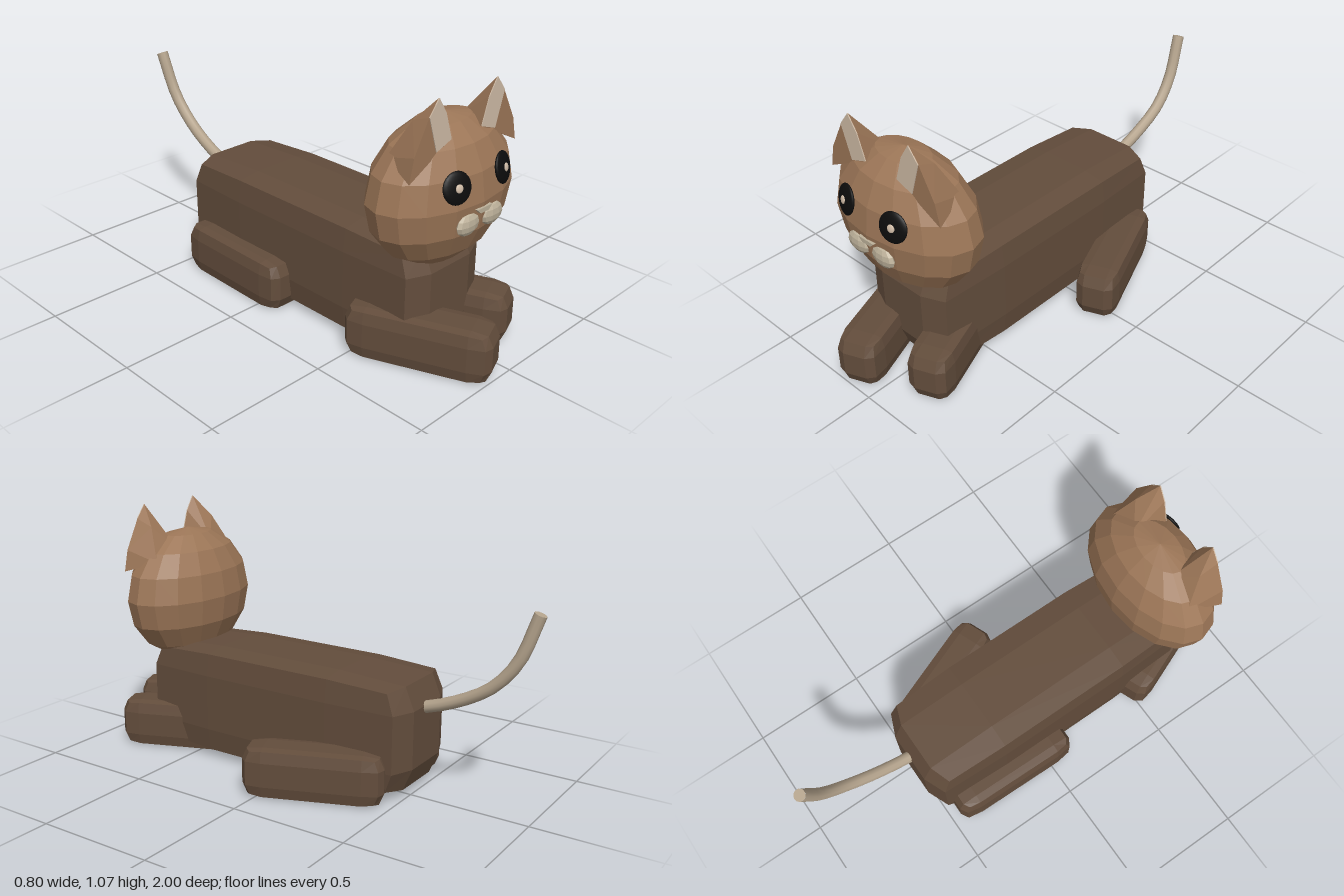
import * as THREE from 'three';
import { ConvexGeometry } from 'three/addons/geometries/ConvexGeometry.js';

const material = (name, color) => {
  const m = new THREE.MeshStandardMaterial({ color });
  m.name = name;
  return m;
};

// Split faces so every facet gets its own normal
function faceted(geometry) {
  const g = geometry.index ? geometry.toNonIndexed() : geometry;
  g.computeVertexNormals();
  return g;
}

// Box with three cells per side, its edges and corners drawn inward
function softBox(half, inner, pull) {
  const g = new THREE.BoxGeometry(2, 2, 2, 3, 3, 3);
  const p = g.attributes.position;
  for (let i = 0; i < p.count; i++) {
    const v = [p.getX(i), p.getY(i), p.getZ(i)];
    const extremes = v.filter((c) => Math.abs(c) > 0.9).length;
    const inset = [0, 0, 1, 1.8][extremes];
    const moved = v.map((c, a) =>
      Math.sign(c) * (Math.abs(c) > 0.9 ? half[a] - pull[a] * inset : inner[a]));
    p.setXYZ(i, ...moved);
  }
  return faceted(g);
}

export function createModel() {
  const model = new THREE.Group();
  const bodyBrown = material('dark brown', 0x634d3c);
  const headBrown = material('warm brown', 0x9c7657);
  const earCream = material('ear cream', 0xcfbba6);
  const tailTan = material('tail tan', 0xb5a48d);
  const muzzleTan = material('muzzle tan', 0xbdb19a);
  const eyeBlack = material('eye black', 0x0c0c0c);

  const add = (name, geometry, mat, x = 0, y = 0, z = 0, parent = model) => {
    const mesh = new THREE.Mesh(geometry, mat);
    mesh.name = name;
    mesh.position.set(x, y, z);
    parent.add(mesh);
    return mesh;
  };

  // Long body
  add('body', softBox([0.218, 0.23, 0.64], [0.11, 0.12, 0.3], [0.012, 0.015, 0.04]),
    bodyBrown, -0.062, 0.25, 0.11);

  // Four stretched-out legs, three of them splayed
  const legGeometry = softBox([0.088, 0.1025, 0.285], [0.045, 0.05, 0.2], [0.01, 0.007, 0.02]);
  [
    ['frontLeftLeg', 0.07, 0.6, 0.38],
    ['frontRightLeg', -0.187, 0.725, 0.38],
    ['backLeftLeg', 0.222, -0.188, 0.38],
    ['backRightLeg', -0.277, -0.175, -0.02],
  ].forEach(([name, x, z, turn]) => {
    add(name, legGeometry, bodyBrown, x, 0.1025, z).rotation.y = turn;
  });

  // Upswept tail with a closed tip
  const tailPath = new THREE.CatmullRomCurve3([
    [-0.055, 0.35, -0.48], [-0.054, 0.375, -0.57], [-0.05, 0.43, -0.7],
    [-0.046, 0.5, -0.81], [-0.052, 0.61, -0.9], [-0.065, 0.797, -0.968],
  ].map((p) => new THREE.Vector3(...p)));
  add('tail', new THREE.TubeGeometry(tailPath, 12, 0.025, 10), tailTan);
  const tip = add('tailTip', new THREE.CircleGeometry(0.025, 10), tailTan);
  tip.position.copy(tailPath.getPoint(1));
  tip.lookAt(tailPath.getPoint(1).add(tailPath.getTangent(1)));

  // Head, with its features placed relative to its centre
  const head = new THREE.Group();
  head.name = 'head';
  head.position.set(-0.063, 0.667, 0.68);
  model.add(head);
  const radii = new THREE.Vector3(0.341, 0.288, 0.2);
  add('skull', faceted(new THREE.SphereGeometry(1, 16, 8).scale(radii.x, radii.y, radii.z)),
    headBrown, 0, 0, 0, head);

  for (const side of [1, -1]) {
    const label = side > 0 ? 'left' : 'right';

    // Ear wedge with a flat front
    const front = [[0.159, 0.398], [0.205, 0.34], [0.274, 0.215], [0.295, 0.125],
      [0.162, 0.205], [0.084, 0.232], [0.118, 0.335]];
    const back = [[0.25, 0.17, -0.04], [0.115, 0.22, -0.03], [0.2, 0.31, 0.03]];
    const earPoints = [...front.map(([x, y]) => [x, y, 0.105]), ...back]
      .map(([x, y, z]) => new THREE.Vector3(side * x, y, z));
    add(label + 'Ear', faceted(new ConvexGeometry(earPoints)), headBrown, 0, 0, 0, head);

    // Pale inner ear plate
    const panel = [0, 1, 4, 5, 6].map((i) => new THREE.Vector2(side * front[i][0], front[i][1]));
    add(label + 'InnerEar', new THREE.ExtrudeGeometry(new THREE.Shape(panel),
      { depth: 0.004, bevelEnabled: false }), earCream, 0, 0, 0.104, head);

    // Round eye following the curve of the face, with a small glint
    const at = new THREE.Vector3(side * 0.128, 0.085, 0);
    at.z = radii.z * Math.sqrt(1 - (at.x / radii.x) ** 2 - (at.y / radii.y) ** 2);
    const normal = at.clone().divide(radii).divide(radii).normalize();
    const eye = new THREE.Group();
    eye.name = label + 'Eye';
    eye.position.copy(at);
    eye.quaternion.setFromUnitVectors(new THREE.Vector3(0, 0, 1), normal);
    head.add(eye);
    add('eyeball', new THREE.SphereGeometry(1, 24, 12).scale(0.06, 0.06, 0.014),
      eyeBlack, 0, 0, 0, eye);
    add('glint', new THREE.SphereGeometry(1, 10, 8).scale(0.016, 0.016, 0.005),
      earCream, 0, 0, 0.014, eye);

    // Muzzle pad
    add(label + 'Muzzle', faceted(new THREE.SphereGeometry(1, 10, 6).scale(0.06, 0.042, 0.022)),
      muzzleTan, side * 0.067, -0.069, 0.184, head);
  }

  // Small nose
  const nose = [[-0.042, -0.018], [-0.022, -0.036], [0.022, -0.036], [0.042, -0.018]]
    .map((p) => new THREE.Vector2(...p));
  add('nose', new THREE.ExtrudeGeometry(new THREE.Shape(nose),
    { depth: 0.03, bevelEnabled: false }), muzzleTan, 0, 0, 0.175, head);

  return model;
}
